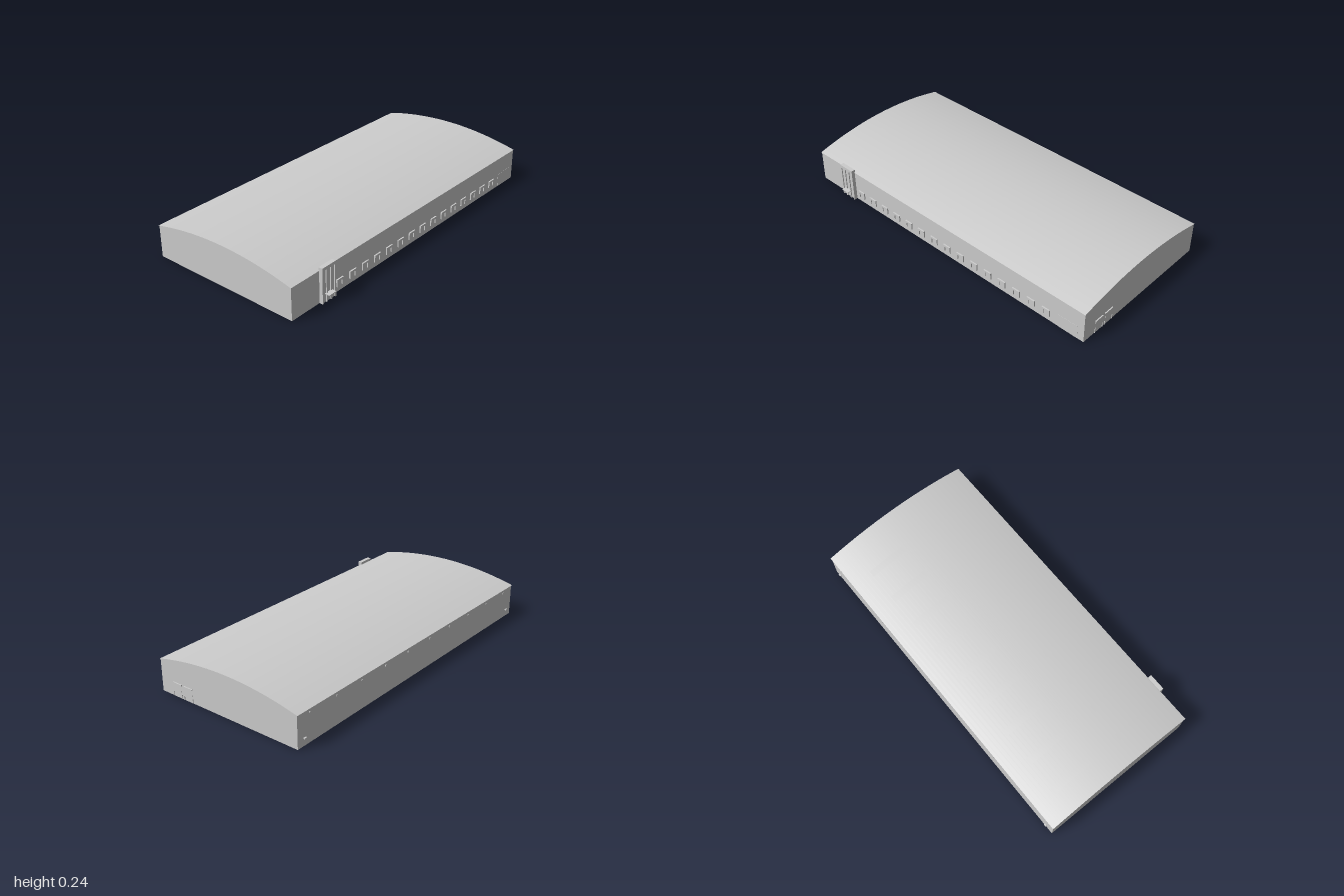
import * as THREE from 'three';

const FRONT = 0.447, BACK = -0.482, LEFT = 0.99, RIGHT = -0.997;
const MID = (FRONT + BACK) / 2, HALF = (FRONT - BACK) / 2;

// Height of the arched roof at depth z
const roofY = z => 0.242 - 0.056 * ((z - MID) / HALF) ** 2;

export function createModel() {
  const model = new THREE.Group();
  const grey = new THREE.MeshStandardMaterial({ color: 0xcccccc, side: THREE.DoubleSide });
  grey.name = 'pale grey';

  const add = (name, geometry, parent = model) => {
    const mesh = new THREE.Mesh(geometry, grey);
    mesh.name = name;
    parent.add(mesh);
    return mesh;
  };
  const group = name => {
    const g = new THREE.Group();
    g.name = name;
    model.add(g);
    return g;
  };
  // Box given by its limits
  const box = (name, x0, x1, y0, y1, z0, z1, parent) => {
    const m = add(name, new THREE.BoxGeometry(x1 - x0, y1 - y0, z1 - z0), parent);
    m.position.set((x0 + x1) / 2, (y0 + y1) / 2, (z0 + z1) / 2);
    return m;
  };
  // Sheet bent to follow the roof arch
  const roofSheet = (x0, x1, z0, z1, lift, segments) => {
    const g = new THREE.PlaneGeometry(x1 - x0, z1 - z0, 1, segments);
    g.rotateX(-Math.PI / 2);
    g.translate((x0 + x1) / 2, 0, (z0 + z1) / 2);
    const p = g.attributes.position;
    for (let i = 0; i < p.count; i++) p.setY(i, roofY(p.getZ(i)) + lift);
    g.computeVertexNormals();
    return g;
  };

  // Arched roof with a small overhang
  add('roof', roofSheet(RIGHT - 0.003, LEFT + 0.002, BACK - 0.005, FRONT + 0.003, 0.001, 40));

  // Two rows of rooflights
  const rooflights = group('rooflights');
  for (let i = 0; i < 9; i++) {
    const x = -0.85 + i * 0.2;
    for (const [z0, z1] of [[0.08, 0.33], [-0.365, -0.115]])
      add('rooflight', roofSheet(x - 0.02, x + 0.02, z0, z1, 0.002, 10), rooflights);
  }

  // Long walls, open underneath
  for (const [name, z, turn] of [['frontWall', FRONT, 0], ['backWall', BACK, Math.PI]]) {
    const wall = add(name, new THREE.PlaneGeometry(LEFT - RIGHT, roofY(z)));
    wall.position.set((LEFT + RIGHT) / 2, roofY(z) / 2, z);
    wall.rotation.y = turn;
  }

  // End walls with an arched top
  for (const [name, x, side] of [['leftEndWall', LEFT, 1], ['rightEndWall', RIGHT, -1]]) {
    const shape = new THREE.Shape();
    shape.moveTo(-HALF, 0);
    shape.lineTo(HALF, 0);
    for (let i = 0; i <= 40; i++) {
      const s = HALF * (1 - i / 20);
      shape.lineTo(s, roofY(MID + s));
    }
    const wall = add(name, new THREE.ShapeGeometry(shape));
    wall.rotation.y = side * Math.PI / 2;
    wall.position.set(x, 0, MID);
  }

  // Row of loading bays: posts, lintel and door leaf
  const bays = group('loadingBays');
  for (let i = 0; i < 15; i++) {
    const x = -0.65 + i * 0.1;
    for (const s of [-1, 1])
      box('bayPost', x + s * 0.02 - 0.005, x + s * 0.02 + 0.005, 0.03, 0.07, FRONT, FRONT + 0.007, bays);
    box('bayLintel', x - 0.025, x + 0.025, 0.06, 0.072, FRONT, FRONT + 0.008, bays);
    box('bayDoor', x - 0.015, x + 0.015, 0.03, 0.06, FRONT, FRONT + 0.001, bays);
  }

  // Entrance tower: core, vertical fins between tall windows, and canopy
  const tower = group('entranceTower');
  box('towerCore', -0.8, -0.7, 0, 0.203, FRONT - 0.003, 0.462, tower);
  for (const x of [-0.796, -0.766, -0.734, -0.704])
    box('towerFin', x - 0.004, x + 0.004, 0, 0.203, 0.46, 0.468, tower);
  box('towerCap', -0.8, -0.7, 0.185, 0.203, 0.46, 0.468, tower);
  box('canopy', -0.777, -0.727, 0.047, 0.051, 0.46, 0.492, tower);

  // Gates on the left end, with thin frames and rain hoods
  const gates = group('sideGates');
  for (const [z0, z1] of [[0.3, 0.36], [0.222, 0.282]]) {
    box('gateLeaf', LEFT, LEFT + 0.001, 0, 0.075, z0 + 0.004, z1 - 0.004, gates);
    for (const z of [z0, z1])
      box('gatePost', LEFT, LEFT + 0.004, 0, 0.025, z - 0.001, z + 0.001, gates);
    box('gateHood', LEFT, LEFT + 0.006, 0.076, 0.081, z0, z1, gates);
  }

  // Service door near the front left corner
  box('serviceDoor', 0.83, 0.95, 0, 0.08, FRONT, FRONT + 0.001);

  // Small lamps and outlets along the back
  const fittings = group('backFittings');
  for (const x of [-0.945, 0.94])
    box('outlet', x - 0.008, x + 0.008, 0.04, 0.046, BACK - 0.009, BACK, fittings);
  for (let i = 0; i < 10; i++) {
    const x = -0.9 + i * 0.2;
    box('lamp', x - 0.005, x + 0.005, 0.16, 0.168, BACK - 0.004, BACK, fittings);
  }
  return model;
}
